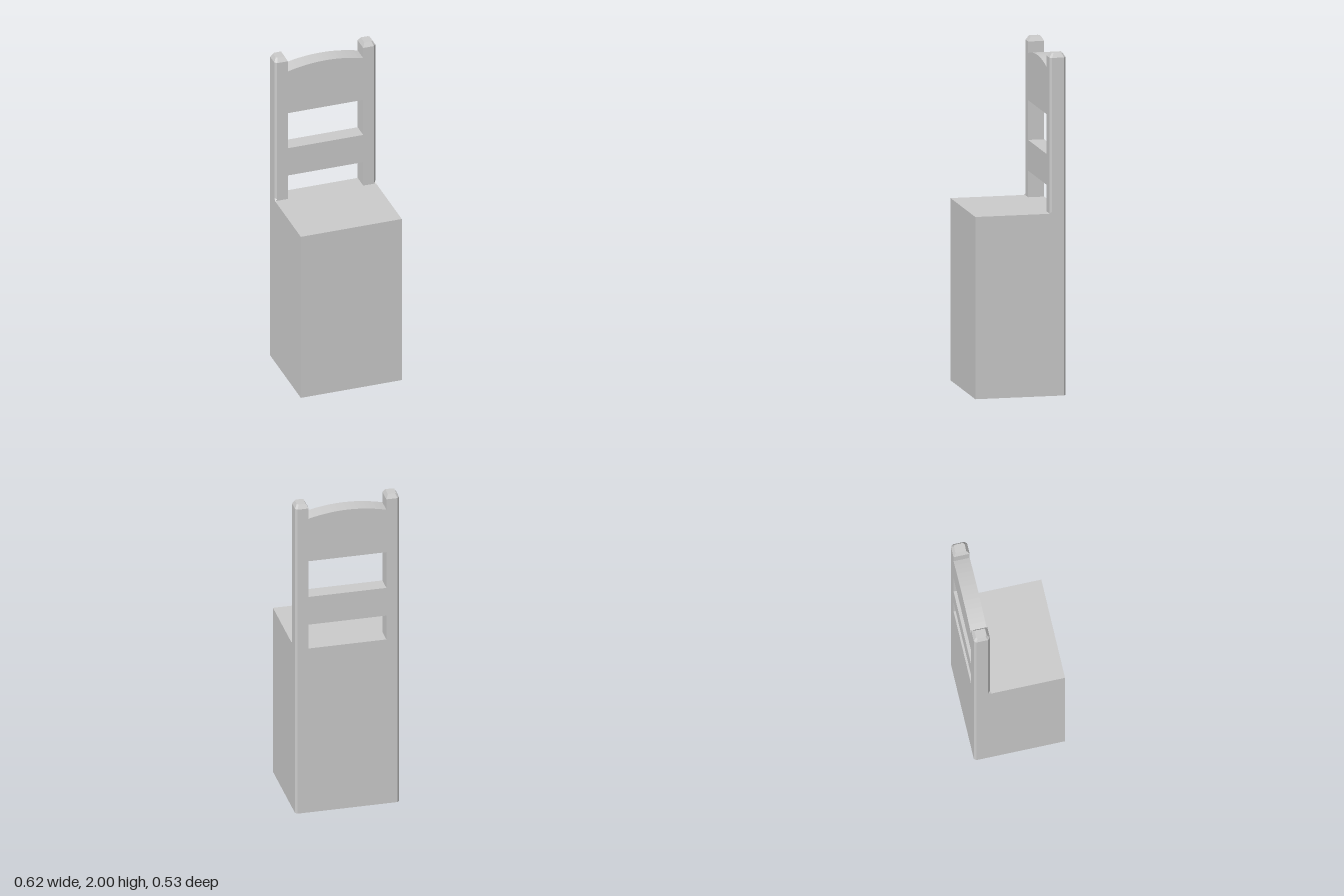
import * as THREE from 'three';

const SEAT_Y = 1.065, X = 0.308, INNER = 0.23, BACK = -0.268, RAIL_FRONT = -0.173;
const material = new THREE.MeshStandardMaterial({ color: 0xcccccc, flatShading: true });
const openMaterial = new THREE.MeshStandardMaterial({ color: 0xcccccc, flatShading: true, side: THREE.DoubleSide });

// Joins stacked rings of [x, z] points (counter-clockwise from above) and caps the top only.
function loft(levels) {
  const pos = [];
  const n = levels[0].ring.length;
  const put = (level, i) => pos.push(level.ring[i][0], level.y, level.ring[i][1]);
  for (let k = 0; k < levels.length - 1; k++) {
    const a = levels[k], b = levels[k + 1];
    for (let i = 0; i < n; i++) {
      const j = (i + 1) % n;
      put(a, i); put(a, j); put(b, j);
      put(a, i); put(b, j); put(b, i);
    }
  }
  const top = levels[levels.length - 1];
  for (let i = 1; i < n - 1; i++) { put(top, 0); put(top, i); put(top, i + 1); }
  const geometry = new THREE.BufferGeometry();
  geometry.setAttribute('position', new THREE.Float32BufferAttribute(pos, 3));
  geometry.computeVertexNormals();
  return geometry;
}

const mirrorRing = (ring) => ring.map(([x, z]) => [-x, z]).reverse();

function addMesh(group, name, geometry, mat = material) {
  const mesh = new THREE.Mesh(geometry, mat);
  mesh.name = name;
  group.add(mesh);
  return mesh;
}

export function createModel() {
  const group = new THREE.Group();
  group.name = 'chair';

  // Hollow seat block, open underneath, with chamfered rear corners
  const footprint = [[-X, 0.267], [X, 0.267], [X, -0.256], [0.296, BACK], [-0.296, BACK], [-X, -0.256]];
  addMesh(group, 'seatBlock', loft([{ y: 0, ring: footprint }, { y: SEAT_Y, ring: footprint }]), openMaterial);

  // Back posts: chamfered outer edges, small flare at the seat, bevelled tops
  const post = [[INNER, RAIL_FRONT], [0.295, RAIL_FRONT], [X, -0.186], [X, -0.256], [0.296, BACK], [INNER, BACK]];
  const foot = post.map(([x, z], i) => [x, i === 2 ? -0.163 : z]);
  const tip = [[0.243, -0.19], [0.286, -0.19], [0.295, -0.198], [0.295, -0.245], [0.286, -0.253], [0.243, -0.253]];
  const levels = [
    { y: SEAT_Y - 0.005, ring: foot },
    { y: SEAT_Y + 0.012, ring: post },
    { y: 1.975, ring: post },
    { y: 2, ring: tip },
  ];
  addMesh(group, 'leftPost', loft(levels));
  addMesh(group, 'rightPost', loft(levels.map(({ y, ring }) => ({ y, ring: mirrorRing(ring) }))));

  // Middle rail, flush with the posts
  const depth = RAIL_FRONT - BACK;
  const rail = addMesh(group, 'middleRail', new THREE.BoxGeometry(2 * INNER, 0.18, depth));
  rail.position.set(0, 1.31, (RAIL_FRONT + BACK) / 2);

  // Top rail with an arched upper edge
  const arch = new THREE.Shape();
  arch.moveTo(-INNER, 1.632);
  arch.lineTo(INNER, 1.632);
  arch.lineTo(INNER, 1.908);
  arch.quadraticCurveTo(0, 1.968, -INNER, 1.908);
  const topRail = addMesh(group, 'topRail',
    new THREE.ExtrudeGeometry(arch, { depth, bevelEnabled: false, curveSegments: 16 }));
  topRail.position.z = BACK;

  return group;
}
